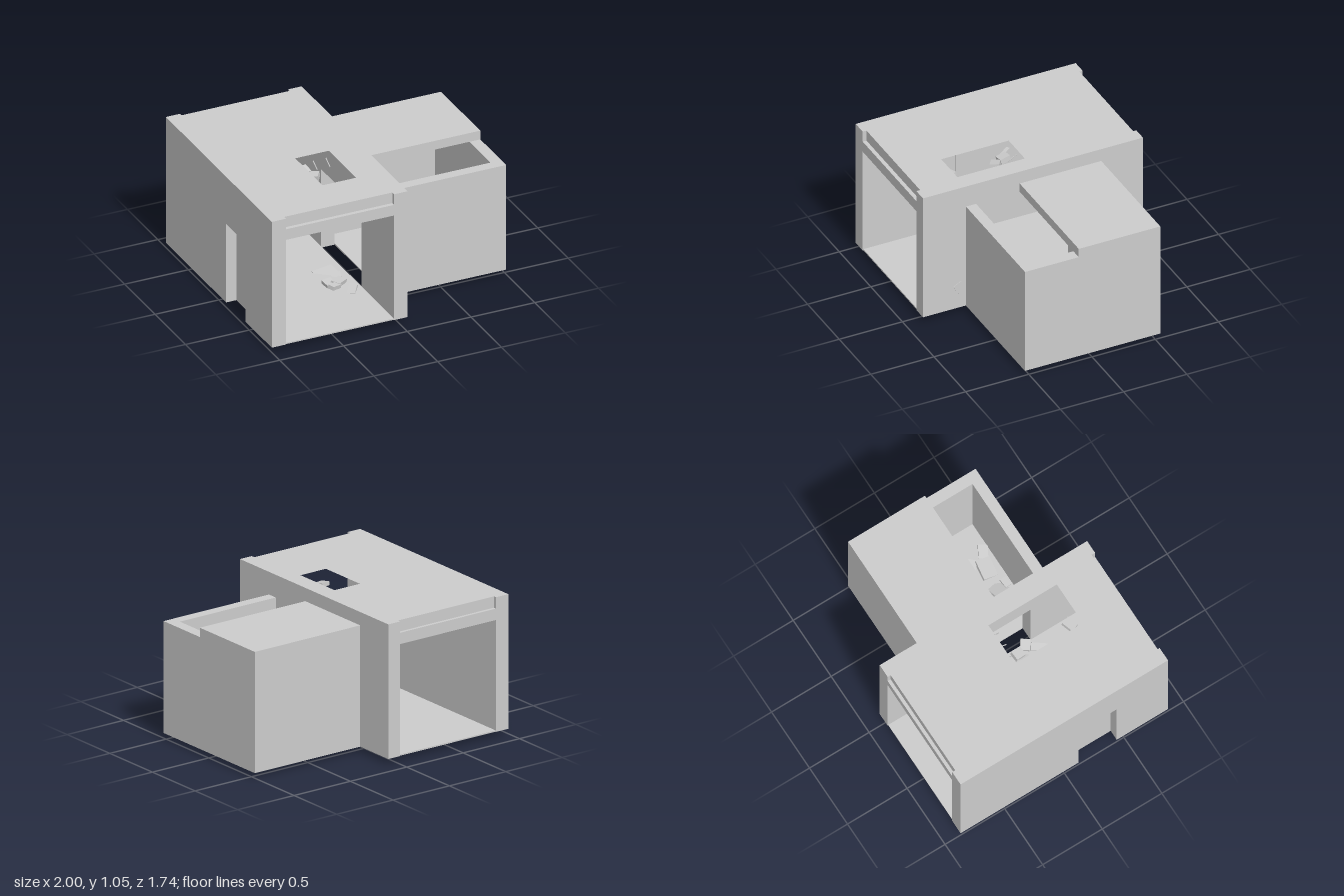
import * as THREE from 'three';

export function createModel() {
  const model = new THREE.Group();
  const concrete = new THREE.MeshStandardMaterial({ color: 0xcccccc });
  concrete.name = 'concrete grey';

  // Add a named mesh to the model.
  const add = (name, geometry) => {
    const mesh = new THREE.Mesh(geometry, concrete);
    mesh.name = name;
    model.add(mesh);
    return mesh;
  };

  // Plan outline of [x, z] points raised from y0 to y1, with optional hole.
  const toVectors = (pts) => pts.map(([x, z]) => new THREE.Vector2(x, -z));
  const raise = (name, y0, y1, outline, hole) => {
    const shape = new THREE.Shape(toVectors(outline));
    if (hole) shape.holes.push(new THREE.Path(toVectors(hole)));
    const geometry = new THREE.ExtrudeGeometry(shape, { depth: y1 - y0, bevelEnabled: false });
    return add(name, geometry.rotateX(-Math.PI / 2).translate(0, y0, 0));
  };
  const rect = (x0, x1, z0, z1) => [[x0, z0], [x1, z0], [x1, z1], [x0, z1]];

  // Main hall: side wall with a blocked doorway
  raise('hallRightWall', 0.04, 0.67, [
    [-1, -0.87], [-0.89, -0.87], [-0.89, 0.13], [-0.905, 0.13], [-0.905, 0.43], [-0.89, 0.43],
    [-0.89, 0.87], [-1, 0.87], [-1, 0.44], [-0.92, 0.44], [-0.92, 0.12], [-1, 0.12],
  ]);
  raise('hallRightWallTop', 0.67, 0.88, rect(-1, -0.89, -0.87, 0.87));

  // Main hall: side wall with the passage into the annex
  raise('hallLeftWallBack', 0.04, 0.67, rect(-0.04, 0.065, -0.87, -0.33));
  raise('hallLeftWallFront', 0.04, 0.67, rect(-0.04, 0.065, 0.33, 0.87));
  raise('passageLintel', 0.67, 0.88, rect(-0.04, 0.065, -0.87, 0.87));
  raise('hallFloor', 0.04, 0.05, rect(-0.89, -0.04, -0.865, 0.865));

  // Roof with a broken-out opening; its top is notched above both gates
  const opening = rect(-0.44, -0.07, -0.06, 0.53);
  raise('hallRoofLower', 0.88, 0.965, rect(-1, 0.065, -0.87, 0.87), opening);
  raise('hallRoofUpper', 0.965, 1.05, [
    [-1, -0.87], [-0.89, -0.87], [-0.89, -0.845], [-0.04, -0.845], [-0.04, -0.87], [0.065, -0.87],
    [0.065, 0.87], [-0.04, 0.87], [-0.04, 0.84], [-0.89, 0.84], [-0.89, 0.87], [-1, 0.87],
  ], opening);

  // Annex: three walls, floor and a roof over the back half
  raise('annexWalls', 0.04, 0.88, [
    [0.065, -0.54], [1, -0.54], [1, 0.53], [0.065, 0.53],
    [0.065, 0.45], [0.915, 0.45], [0.915, -0.46], [0.065, -0.46],
  ]);
  raise('annexFloor', 0.04, 0.05, rect(0.065, 0.915, -0.46, 0.45));
  raise('annexRoof', 0.88, 0.95, rect(0.065, 1, -0.54, 0.105));

  // Rubble: centre x, y, z; size x, y, z; turn, tilt x, tilt z
  const rubble = [
    // blocks on the annex floor
    [0.36, 0.05, 0.35, 0.18, 0.04, 0.12, 0.2, 0.15, -0.2],
    [0.42, 0.045, 0.41, 0.07, 0.04, 0.05, 0.1, 0.1, 0.1],
    [0.58, 0.045, 0.35, 0.15, 0.05, 0.11, -0.12, 0.2, 0.1],
    [0.65, 0.05, 0.265, 0.1, 0.04, 0.08, -0.7, 0.15, 0.1],
    [0.7, 0.045, 0.4, 0.1, 0.04, 0.07, -0.5, 0.1, 0.15],
    // blocks on the hall floor
    [-0.17, 0.07, 0.23, 0.11, 0.03, 0.07, 0.6, 0.1, -0.1],
    [-0.23, 0.075, 0.29, 0.09, 0.03, 0.05, 0.45, 0.1, -0.15],
    [-0.12, 0.045, 0.35, 0.06, 0.03, 0.12, -0.6, 0.15, 0.1],
    [-0.13, 0.04, 0.1, 0.07, 0.03, 0.06, -0.25, 0.15, 0.1],
    [-0.18, 0.04, 0.03, 0.16, 0.03, 0.11, 0.08, 0.1, 0.1],
    [-0.24, 0.065, 0.215, 0.07, 0.03, 0.08, 0.1, 0.1, 0.1],
    // chunks hanging at the roof opening
    [-0.345, 0.9, 0.03, 0.07, 0.04, 0.08, 0.1, 0.2, 0.1],
    [-0.31, 0.89, 0.11, 0.08, 0.04, 0.07, -0.6, 0.1, 0.15],
    [-0.35, 0.89, 0.46, 0.09, 0.03, 0.07, 0.35, 0.15, 0.1],
    [-0.41, 0.89, -0.02, 0.03, 0.04, 0.08, 0.5, 0.2, 0.1],
    // chip on the outer wall
    [0.065, 0.21, 0.58, 0.012, 0.08, 0.07, 0, 0.5, 0],
  ];
  for (const [x, y, z, w, h, d, turn, tiltX, tiltZ] of rubble) {
    const block = add('rubble', new THREE.BoxGeometry(w, h, d));
    block.position.set(x, y, z);
    block.rotation.set(tiltX, turn, tiltZ, 'YXZ');
    // Nothing sinks below the ground
    const low = new THREE.Box3().setFromObject(block, true).min.y;
    if (low < 0) block.position.y -= low;
  }

  // Reinforcing bars left in the broken roof edge
  for (const x of [-0.33, -0.23, -0.13]) {
    const bar = add('reinforcingBar', new THREE.CylinderGeometry(0.004, 0.004, 0.08, 6));
    bar.position.set(x, 0.89, -0.03);
    bar.rotation.x = Math.PI / 2 + 0.5;
  }

  return model;
}
